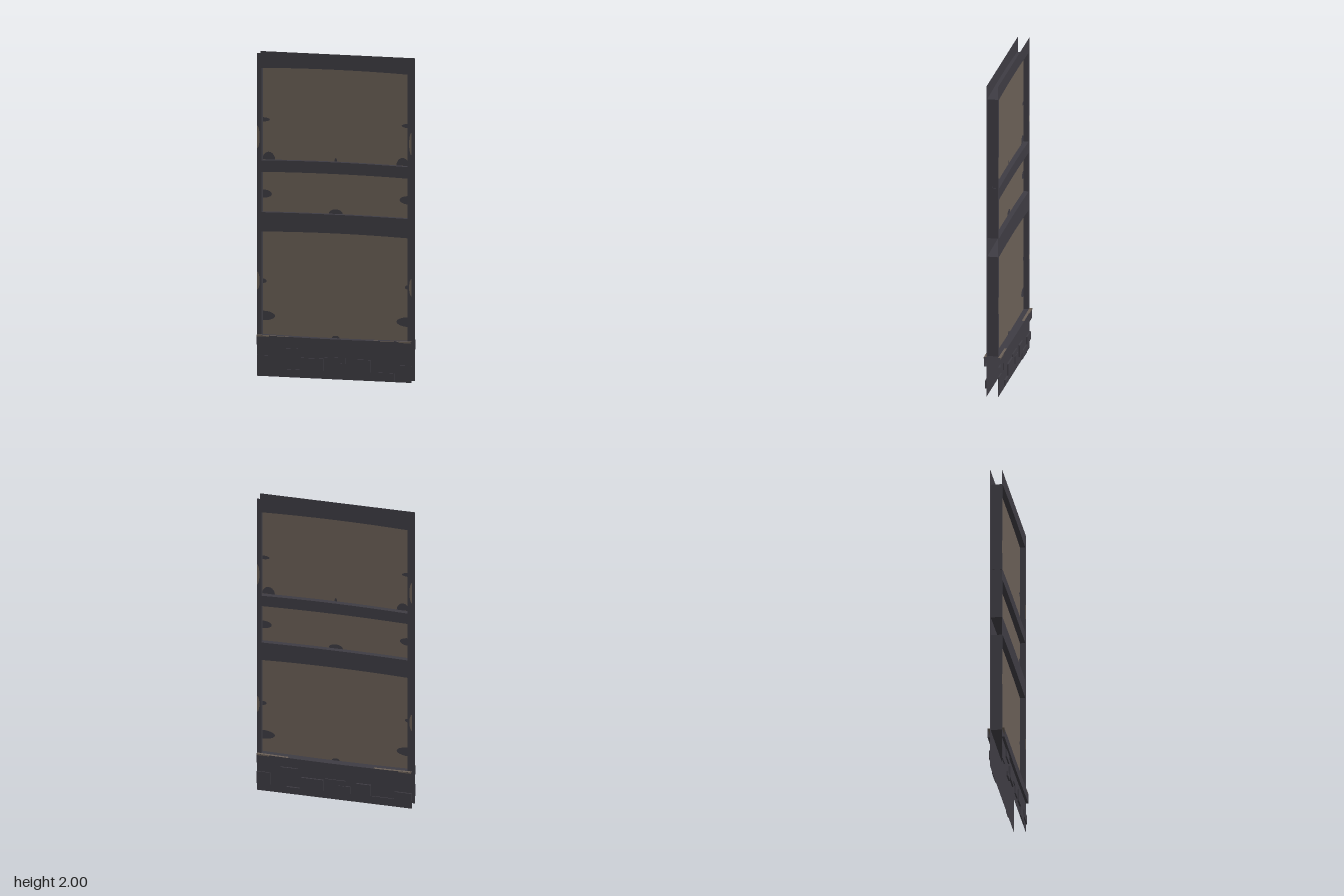
import * as THREE from 'three';

const W = 0.49, IN = 0.463, FACE = 0.036, PANEL = 0.004, LEDGE = 0.052;

export function createModel() {
  const mat = (name, color) => new THREE.MeshStandardMaterial({ name, color, side: THREE.DoubleSide });
  const dark = mat('dark frame', 0x3e3c43);
  const brown = mat('brown panel', 0x6a5f56);
  const model = new THREE.Group();
  model.name = 'wallPanel';

  // Slightly arched line of points at height y
  const arc = (y, rise, x0, x1, n = 8) => Array.from({ length: n + 1 }, (_, i) => {
    const x = x0 + (x1 - x0) * i / n;
    return new THREE.Vector2(x, y + rise * (1 - (x / W) ** 2));
  });

  // Flat-shaded strip between two rows of points of equal length
  function strip(a, za, b, zb) {
    const pos = [];
    for (let i = 0; i < a.length - 1; i++) {
      const q = [[a[i], za], [a[i + 1], za], [b[i + 1], zb], [b[i], zb]];
      for (const k of [0, 1, 2, 0, 2, 3]) pos.push(q[k][0].x, q[k][0].y, q[k][1]);
    }
    const g = new THREE.BufferGeometry();
    g.setAttribute('position', new THREE.Float32BufferAttribute(pos, 3));
    g.computeVertexNormals();
    return g;
  }

  // Openings: bottom height and rise, top height and rise
  const openings = [[0.256, -0.006, 0.894, 0.01], [1.014, 0.006, 1.264, 0.008], [1.335, 0.009, 1.908, 0.01]];

  function buildSide(name) {
    const side = new THREE.Group();
    side.name = name;
    const add = (part, geo, material) => {
      const m = new THREE.Mesh(geo, material);
      m.name = part;
      side.add(m);
      return m;
    };

    // Frame sheet with three openings, their reveals and recessed panels
    const sheet = new THREE.Shape([[-W, 0], [W, 0], [W, 2], [-W, 2]].map(p => new THREE.Vector2(...p)));
    for (const [y0, r0, y1, r1] of openings) {
      const loop = [...arc(y0, r0, -IN, IN), ...arc(y1, r1, IN, -IN)];
      sheet.holes.push(new THREE.Path(loop));
      const closed = [...loop, loop[0]];
      add('reveal', strip(closed, FACE, closed, 0), dark);
      add('panel', new THREE.ShapeGeometry(new THREE.Shape(loop)).translate(0, 0, PANEL), brown);
    }
    add('frame', new THREE.ShapeGeometry(sheet).translate(0, 0, FACE), dark);

    // Side walls behind the middle rail
    for (const s of [-1, 1]) {
      const edge = [new THREE.Vector2(s * IN, 1.264), new THREE.Vector2(s * IN, 1.335)];
      add('railBacking', strip(edge, FACE, edge, 0), dark);
    }

    // Moulding above the plinth, worn at the ends of its top
    const top = arc(0.256, -0.006, -W, W), low = arc(0.195, -0.009, -W, W);
    add('mouldingFace', strip(top, LEDGE, low, LEDGE), dark);
    add('mouldingUnderside', strip(low, LEDGE, low, FACE), dark);
    for (const [a, b, m] of [[-W, -0.29, brown], [-0.29, 0.25, dark], [0.25, W, brown]]) {
      const p = arc(0.256, -0.006, a, b, 4);
      add('mouldingTop', strip(p, FACE, p, LEDGE), m);
    }
    for (const s of [-1, 1]) {
      add('mouldingWear', new THREE.PlaneGeometry(0.08, 0.008)
        .translate(s * 0.45, 0.251, LEDGE + 0.001), brown);
    }

    // Raised stones on the plinth: x0, x1, y0, y1
    const stones = [
      [-0.49, -0.405, 0.05, 0.13], [-0.34, -0.23, 0.13, 0.18], [-0.21, -0.07, 0.05, 0.125],
      [-0.06, 0.07, 0.1, 0.135], [0.02, 0.1, 0.05, 0.1], [0.14, 0.23, 0.055, 0.13],
      [0.24, 0.38, 0.005, 0.055], [0.38, 0.49, 0.055, 0.105], [-0.3, -0.22, 0.02, 0.05]];
    stones.forEach(([x0, x1, y0, y1], i) => {
      const d = 0.006 + 0.002 * (i % 3);
      add('stone', new THREE.BoxGeometry(x1 - x0, y1 - y0, d)
        .translate((x0 + x1) / 2, (y0 + y1) / 2, FACE + d / 2), dark);
    });

    // Half-round stains along the panel edges and worn spots on the stiles
    const spot = (part, x, y, rx, ry, angle, z, m) => add(part,
      new THREE.CircleGeometry(1, 10, angle, Math.PI).scale(rx, ry, 1).translate(x, y, z), m);
    for (const s of [-1, 1]) {
      const a = s < 0 ? -Math.PI / 2 : Math.PI / 2;
      for (const [y, rx, ry] of [[1.585, 0.045, 0.013], [1.125, 0.058, 0.026], [0.37, 0.078, 0.03], [0.585, 0.025, 0.014]])
        spot('stain', s * IN, y, rx, ry, a, PANEL + 0.001, dark);
      spot('cornerStain', s * 0.425, 1.338, 0.04, 0.048, 0, PANEL + 0.001, dark);
      spot('wear', s * W, 1.48, 0.016, 0.07, a, FACE + 0.001, brown);
      spot('wear', s * W, 0.59, 0.016, 0.055, a, FACE + 0.001, brown);
    }
    spot('centreStain', 0, 1.02, 0.045, 0.028, 0, PANEL + 0.001, dark);
    spot('centreStain', 0, 1.344, 0.008, 0.022, 0, PANEL + 0.001, dark);
    spot('centreStain', 0, 0.25, 0.025, 0.015, 0, PANEL + 0.001, dark);
    return side;
  }

  // Same face on both sides, turned about the vertical axis
  const back = buildSide('backSide');
  back.rotation.y = Math.PI;
  model.add(buildSide('frontSide'), back);
  return model;
}
